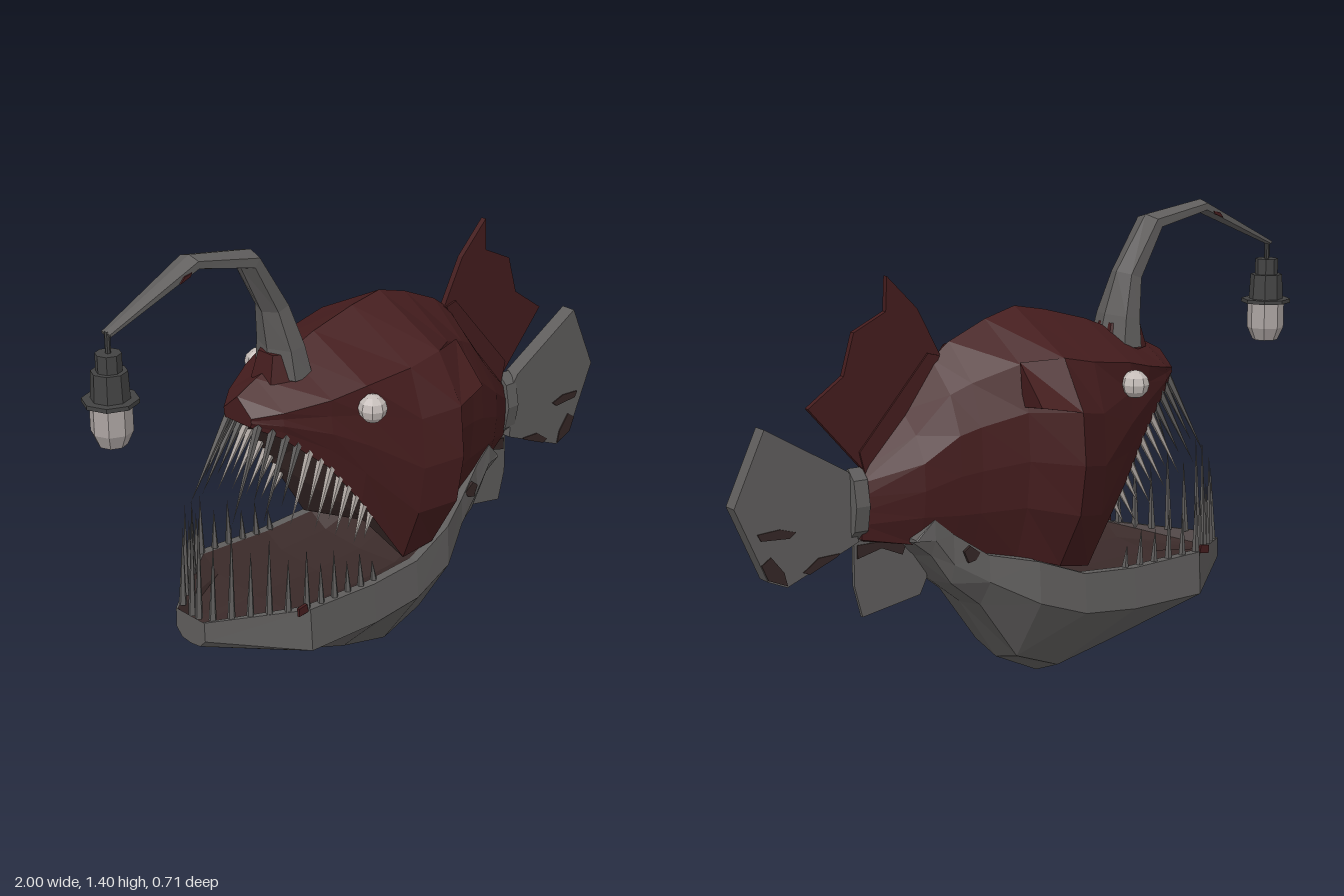
import * as THREE from 'three';

const paint = (name, color) => {
  const m = new THREE.MeshStandardMaterial({ color, flatShading: true, side: THREE.DoubleSide });
  m.name = name;
  return m;
};

export function createModel() {
  const model = new THREE.Group();
  const red = paint('dark red skin', 0x441c1d);
  const grey = paint('grey skin', 0x5f5d5c);
  const dark = paint('lamp metal', 0x434343);
  const gum = paint('mouth lining', 0x3a2a29);
  const blotch = paint('brown blotch', 0x352726);
  const pale = paint('pale tooth', 0xaea6a1);
  const white = paint('eye white', 0xc4bcb8);
  const glass = paint('lamp glass', 0xaca4a2);

  const add = (name, geo, mat, parent = model) => {
    const mesh = new THREE.Mesh(geo, mat);
    mesh.name = name;
    parent.add(mesh);
    return mesh;
  };

  // Skin between rings of [x, y, z] points; capped ends are fans
  const loft = (rings, { closed = false, capStart = false, capEnd = false } = {}) => {
    const n = rings[0].length, idx = [], pos = rings.flat(2);
    for (let i = 0; i < rings.length - 1; i++)
      for (let j = 0; j < (closed ? n : n - 1); j++) {
        const a = i * n + j, b = i * n + (j + 1) % n;
        idx.push(a, a + n, b, b, a + n, b + n);
      }
    const last = (rings.length - 1) * n;
    for (let j = 1; j < n - 1; j++) {
      if (capStart) idx.push(0, j, j + 1);
      if (capEnd) idx.push(last, last + j + 1, last + j);
    }
    const g = new THREE.BufferGeometry();
    g.setAttribute('position', new THREE.Float32BufferAttribute(pos, 3));
    g.setIndex(idx);
    const flat = g.toNonIndexed();
    flat.computeVertexNormals();
    return flat;
  };
  // Mirror a half section (running from the centre line to the rim) across z
  const mirror = half => [
    ...half.slice().reverse(),
    ...half.filter(p => p[2] !== 0).map(([x, y, z]) => [x, y, -z]),
  ];

  // Body stations: x, top, bottom, half width, brow height, brow factor, rim factor, palate rise
  const body = [
    [-0.49, 0.95, 0.87, 0.06, 0.9, 1, 0.9, 0.01],
    [-0.42, 0.985, 0.83, 0.12, 0.915, 1, 0.9, 0.03],
    [-0.3, 1.03, 0.72, 0.19, 0.94, 0.98, 0.88, 0.1],
    [-0.2, 1.07, 0.58, 0.235, 0.965, 0.94, 0.85, 0.15],
    [-0.05, 1.11, 0.35, 0.305, 0.985, 0.8, 0.72, 0.1],
    [0.06, 1.13, 0.37, 0.355, 1.008, 0.7, 0.65, 0],
    [0.165, 1.1, 0.4, 0.23, 0.99, 0.78, 0.7, 0],
    [0.29, 1.045, 0.41, 0.175, 0.94, 0.68, 0.65, 0],
    [0.35, 1.0, 0.42, 0.155, 0.91, 0.64, 0.65, 0],
    [0.45, 0.86, 0.47, 0.122, 0.8, 0.6, 0.65, 0],
    [0.6, 0.7, 0.5, 0.025, 0.67, 0.6, 0.65, 0],
  ];
  const rim = ([x, top, bot, w, , , k]) => [x, top + (bot - top) * 0.97, w * k];
  add('body', loft(body.map(s => {
    const [x, top, bot, w, brow, k] = s;
    const at = (t, f) => [x, brow + (bot - brow) * t, w * f];
    return mirror([[x, top, 0], at(0, k), at(0.226, 0.96), at(0.464, 1), at(0.7, 0.93), rim(s)]);
  }), { capStart: true, capEnd: true }), red);
  const under = s => mirror([[s[0], s[2] + s[7], 0], rim(s)]);
  add('palate', loft(body.slice(0, 6).map(under)), gum);
  add('belly', loft(body.slice(5).map(under)), red);

  // Lower jaw stations: x, rim, side low, keel side, keel, half width, keel half width
  const jaw = [
    [-0.685, 0.33, 0.27, 0.245, 0.24, 0.065, 0.04],
    [-0.45, 0.36, 0.23, 0.175, 0.155, 0.26, 0.12],
    [-0.2, 0.35, 0.225, 0.09, 0.065, 0.26, 0.12],
    [-0.02, 0.36, 0.24, 0.045, 0, 0.255, 0.11],
    [0.13, 0.415, 0.29, 0.1, 0.07, 0.235, 0.11],
    [0.26, 0.44, 0.36, 0.28, 0.265, 0.165, 0.11],
    [0.36, 0.51, 0.42, 0.36, 0.345, 0.13, 0.11],
    [0.42, 0.56, 0.5, 0.45, 0.43, 0.125, 0.1],
    [0.475, 0.505, 0.5, 0.495, 0.485, 0.11, 0.09],
  ];
  add('lowerJaw', loft(jaw.map(([x, y, side, ks, keel, w, kw]) =>
    mirror([[x, keel, 0], [x, ks, kw], [x, side, w], [x, y, w * 0.97], [x, y, w * 0.86]])),
  { capStart: true, capEnd: true }), grey);
  add('mouthFloor', loft(jaw.slice(0, 5).map(([x, y, , , , w]) =>
    mirror([[x, y - 0.05, 0], [x, y - 0.04, w * 0.6], [x, y, w * 0.86]]))), gum);
  add('jawHinge', loft(jaw.slice(4).map(([x, y, , , , w]) => mirror([[x, y, 0], [x, y, w * 0.86]]))), grey);

  // Teeth: slim cones set along each side of the mouth
  const tooth = (name, base, tip, r, mat) => {
    const d = tip.clone().sub(base);
    const m = add(name, new THREE.ConeGeometry(r, d.length(), 5), mat);
    m.position.copy(base).addScaledVector(d, 0.5);
    m.quaternion.setFromUnitVectors(new THREE.Vector3(0, 1, 0), d.normalize());
  };
  // Flat plates cut from an outline in the x-y plane
  const plate = (name, pts, depth, mat, z = 0) => {
    const shape = new THREE.Shape(pts.map(p => new THREE.Vector2(...p)));
    const g = new THREE.ExtrudeGeometry(shape, { depth, bevelEnabled: false });
    add(name, g.translate(0, 0, z - depth / 2), mat);
  };
  const V = (x, y, z) => new THREE.Vector3(x, y, z);
  for (const s of [1, -1]) {
    const low = new THREE.CatmullRomCurve3([V(-0.665, 0.32, 0.015 * s), V(-0.655, 0.33, 0.07 * s),
      V(-0.45, 0.345, 0.235 * s), V(-0.18, 0.34, 0.23 * s)], false, 'catmullrom', 0.1);
    const high = new THREE.CatmullRomCurve3(body.slice(0, 5).map(b => {
      const [x, y, z] = rim(b);
      return V(x + 0.01, y + 0.02, z * 0.95 * s);
    }), false, 'catmullrom', 0.1);
    for (let i = 0; i < 12; i++) {
      const u = i / 11, vary = 1 - 0.22 * (i % 2);
      const p = low.getPointAt(u);
      tooth('lowerTooth', p, p.clone().add(V(0.012 - 0.02 * u, (0.33 - 0.23 * u) * vary, 0)), 0.012, grey);
      const q = high.getPointAt(0.03 + u * 0.68);
      const len = (0.3 - 0.18 * u) * vary;
      tooth('upperTooth', q, q.clone().add(V(-0.44 * len, -0.88 * len, 0.1 * len * s)), 0.013, i < 4 ? grey : pale);
    }
    // Eyes
    add('eye', new THREE.SphereGeometry(0.042, 8, 6), white).position.set(-0.2, 0.905, 0.245 * s);
    // Gill flaps standing proud of the shoulder
    add('gillFlap', loft([
      [[0.06, 1.008, 0.248 * s], [0.06, 0.864, 0.341 * s], [0.06, 0.85, 0.2 * s]],
      [[0.18, 1.0, 0.2 * s], [0.18, 0.885, 0.31 * s], [0.17, 0.87, 0.2 * s]],
    ], { closed: true, capEnd: true }), red);

    // Painted blotches on the fins, jaw and lure
    const z = 0.01 + 0.025 * s;
    plate('tailBlotch', [[0.67, 0.478], [0.74, 0.475], [0.79, 0.44], [0.77, 0.432], [0.68, 0.47]], 0.005, blotch, z);
    plate('tailBlotch', [[0.81, 0.56], [0.86, 0.575], [0.93, 0.57], [0.92, 0.55], [0.83, 0.545]], 0.005, blotch, z);
    plate('tailBlotch', [[0.84, 0.41], [0.85, 0.45], [0.89, 0.5], [0.92, 0.48], [0.9, 0.435]], 0.005, blotch, z);
    plate('finBlotch', [[0.44, 0.49], [0.61, 0.49], [0.61, 0.45], [0.53, 0.47], [0.46, 0.44]], 0.005, blotch, 0.007 * s);
    plate('jawBlotch', [[0.285, 0.45], [0.32, 0.475], [0.34, 0.46], [0.325, 0.425], [0.3, 0.43]], 0.009, blotch, 0.147 * s);
    plate('gumSpot', [[-0.49, 0.35], [-0.49, 0.375], [-0.46, 0.38], [-0.455, 0.355]], 0.009, red, 0.245 * s);
    plate('lureSpot', [[-0.705, 1.345], [-0.69, 1.362], [-0.665, 1.368], [-0.67, 1.358]], 0.008, red, 0.036 * s);
  }

  // Fins
  plate('dorsalFin', [[0.32, 1.0], [0.4, 1.15], [0.5, 1.25], [0.505, 1.15], [0.61, 1.1], [0.645, 0.98],
    [0.76, 0.9], [0.58, 0.7], [0.45, 0.8]], 0.018, red);
  plate('dorsalFinBase', [[0.33, 1.01], [0.37, 1.02], [0.6, 0.76], [0.58, 0.68], [0.44, 0.8]], 0.03, red);
  plate('tailFin', [[0.61, 0.67], [0.64, 0.71], [0.9, 0.86], [0.998, 0.65], [0.9, 0.43], [0.84, 0.405], [0.61, 0.5]], 0.048, grey, 0.01);
  plate('analFin', [[0.42, 0.52], [0.62, 0.5], [0.62, 0.37], [0.595, 0.275], [0.4, 0.31], [0.375, 0.36]], 0.012, grey);
  const tailJoint = add('tailJoint', new THREE.CylinderGeometry(0.105, 0.105, 0.045, 8), grey);
  tailJoint.rotation.z = Math.PI / 2;
  tailJoint.scale.z = 0.45;
  tailJoint.position.set(0.61, 0.61, 0);

  // Lure stalk: tapering hexagonal rings along a bent path (x, y, in-plane radius, z radius, tilt)
  const stalk = [
    [-0.315, 0.98, 0.065, 0.1, 1.57], [-0.325, 1.07, 0.052, 0.085, 1.7], [-0.355, 1.19, 0.04, 0.058, 1.9],
    [-0.445, 1.345, 0.03, 0.057, 2.5], [-0.64, 1.383, 0.021, 0.045, 3.25], [-0.925, 1.252, 0.008, 0.022, 3.6],
  ];
  const stalkRing = ([x, y, r, rz, a]) => Array.from({ length: 6 }, (_, i) => {
    const t = i * Math.PI / 3, c = Math.cos(t) * r;
    return [x - Math.sin(a) * c, y + Math.cos(a) * c, Math.sin(t) * rz];
  });
  add('lureStalk', loft(stalk.map(stalkRing), { closed: true, capEnd: true }), grey);
  const skirt = add('stalkSkirt', new THREE.CylinderGeometry(0.062, 0.085, 0.08, 6), red);
  skirt.position.set(-0.328, 1.012, 0);

  // Hanging lamp: wire, cap, socket, flange and glass
  const lamp = new THREE.Group();
  lamp.name = 'lamp';
  lamp.position.x = -0.922;
  model.add(lamp);
  const drum = (name, rt, rb, y0, y1, mat) =>
    add(name, new THREE.CylinderGeometry(rt, rb, y1 - y0, 8), mat, lamp).position.y = (y0 + y1) / 2;
  drum('wire', 0.008, 0.008, 1.19, 1.26, dark);
  drum('cap', 0.036, 0.036, 1.14, 1.2, dark);
  drum('socket', 0.05, 0.054, 1.07, 1.15, dark);
  drum('flange', 0.078, 0.078, 1.06, 1.072, dark);
  drum('glass', 0.058, 0.058, 0.98, 1.06, glass);
  drum('glassTip', 0.058, 0.04, 0.94, 0.98, glass);
  return model;
}
